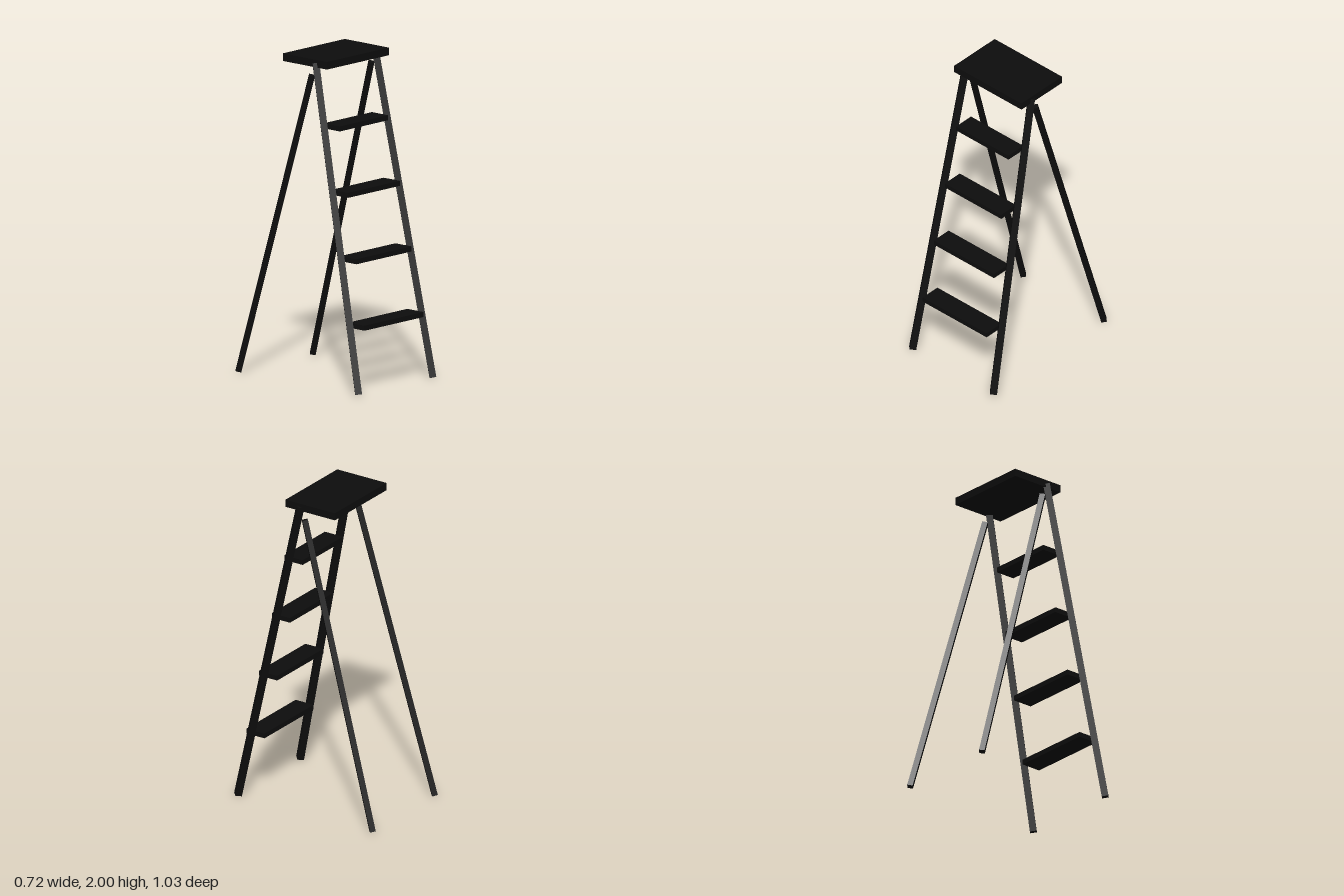
import * as THREE from 'three';

export function createModel() {
  const group = new THREE.Group();
  group.name = 'stepladder';
  const black = new THREE.MeshStandardMaterial({ color: 0x0d0d0d, flatShading: true });
  black.name = 'black';

  function add(geometry, name, x, y, z) {
    const mesh = new THREE.Mesh(geometry, black);
    mesh.name = name;
    mesh.position.set(x, y, z);
    group.add(mesh);
    return mesh;
  }

  // Four-sided pole between two points, with an edge facing forward
  function pole(name, bottom, top, radius) {
    const axis = top.clone().sub(bottom);
    const mid = bottom.clone().add(top).multiplyScalar(0.5);
    const mesh = add(new THREE.CylinderGeometry(radius, radius, axis.length(), 4), name, mid.x, mid.y, mid.z);
    mesh.quaternion.setFromUnitVectors(new THREE.Vector3(0, 1, 0), axis.normalize());
  }

  // Front rails and the slimmer rear legs, mirrored left and right
  for (const [side, s] of [['left', 1], ['right', -1]]) {
    pole(side + 'FrontRail', new THREE.Vector3(0.33 * s, 0.007, 0.488), new THREE.Vector3(0.264 * s, 1.978, 0.078), 0.029);
    pole(side + 'RearLeg', new THREE.Vector3(0.33 * s, 0.007, -0.494), new THREE.Vector3(0.264 * s, 1.897, 0.046), 0.024);
  }

  // Steps, narrowing and moving back as they rise
  for (let i = 0; i < 4; i++) {
    const width = 2 * (0.262 - 0.016 * i);
    add(new THREE.BoxGeometry(width, 0.031, 0.132), 'step' + (i + 1), 0, 0.402 + 0.3943 * i, 0.408 - 0.082 * i);
  }

  // Top platform
  add(new THREE.BoxGeometry(0.55, 0.047, 0.36), 'topPlatform', 0, 1.9765, -0.001);

  return group;
}
